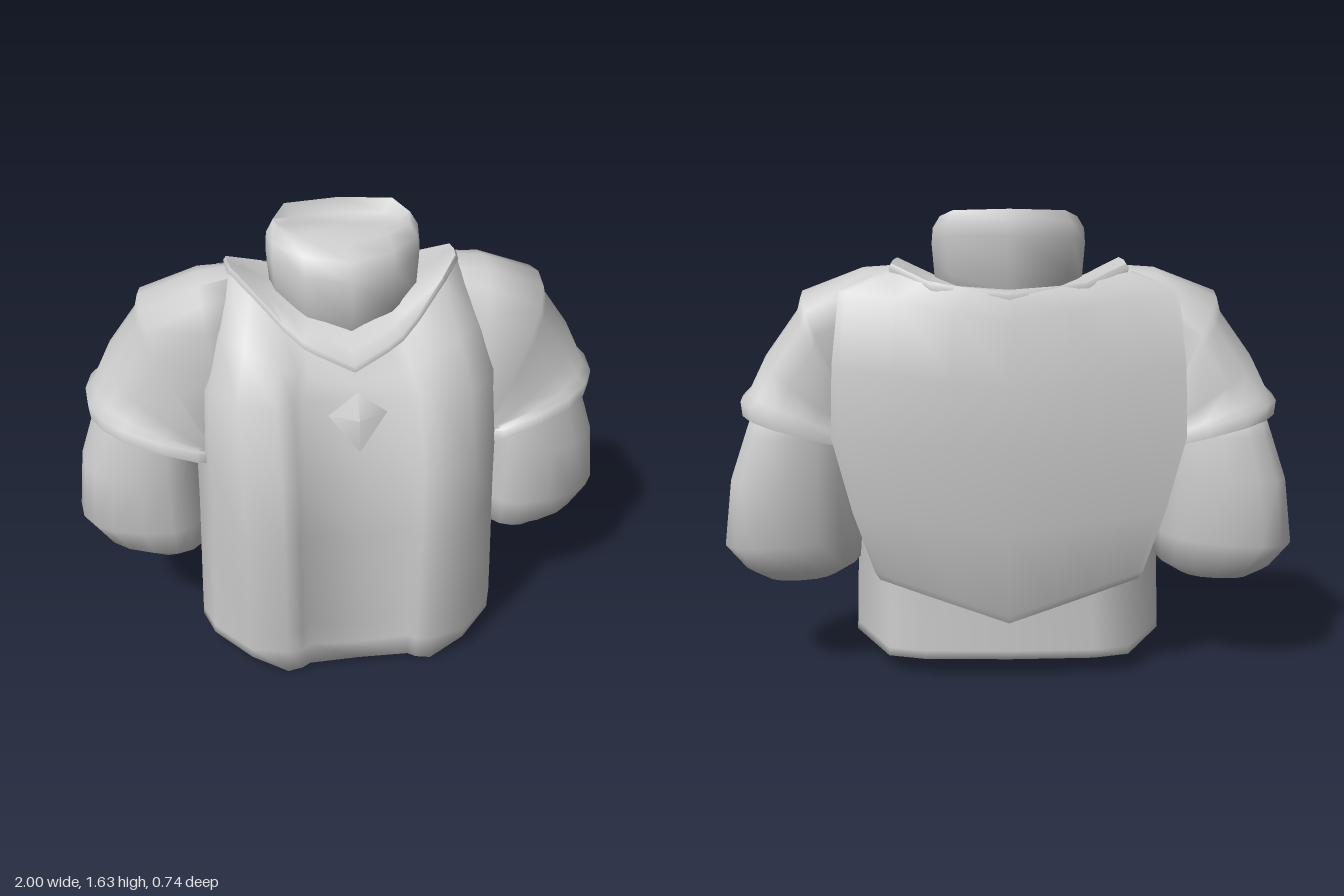
import * as THREE from 'three';
import { toCreasedNormals } from 'three/addons/utils/BufferGeometryUtils.js';

const grey = new THREE.MeshStandardMaterial({ color: 0xcccccc, side: THREE.DoubleSide });

// Skin closed rings of [x, y, z] points; optional apex points close the ends.
function loft(name, rings, { start, end, crease = 1.5 } = {}) {
  const n = rings[0].length, verts = rings.flat(), tris = [];
  for (let r = 0; r + 1 < rings.length; r++)
    for (let i = 0; i < n; i++) {
      const a = r * n + i, b = r * n + (i + 1) % n;
      tris.push([a, b, a + n], [b, b + n, a + n]);
    }
  const cap = (point, row, flip) => {
    const c = verts.push(point) - 1;
    for (let i = 0; i < n; i++) {
      const a = row * n + i, b = row * n + (i + 1) % n;
      tris.push(flip ? [b, a, c] : [a, b, c]);
    }
  };
  if (start) cap(start, 0, true);
  if (end) cap(end, rings.length - 1, false);

  // Turn every face outwards using the enclosed volume
  let volume = 0;
  const mid = verts.reduce((s, v) => s.map((q, k) => q + v[k] / verts.length), [0, 0, 0]);
  const v3 = i => new THREE.Vector3(...verts[i]).sub(new THREE.Vector3(...mid));
  for (const [a, b, c] of tris) volume += v3(a).dot(v3(b).cross(v3(c)));
  if (volume < 0) tris.forEach(t => t.reverse());

  const geo = new THREE.BufferGeometry();
  geo.setAttribute('position', new THREE.Float32BufferAttribute(verts.flat(), 3));
  geo.setIndex(tris.flat());
  const mesh = new THREE.Mesh(toCreasedNormals(geo, crease), grey);
  mesh.name = name;
  return mesh;
}

// Complete a half ring (front centre to back centre) by mirroring it in x
const mirrorRing = half => [...half, ...half.slice(1, -1).reverse().map(([x, y, z]) => [-x, y, z])];

// Rounded ring from an inner to an outer point, tilted in the xy plane and swept back outwards
function limbRing(side, [xi, yi, xo, yo, zBack, zFront], power, n = 16) {
  const soft = v => Math.sign(v) * Math.abs(v) ** power;
  return Array.from({ length: n }, (_, i) => {
    const a = (i / n) * Math.PI * 2, k = (1 + soft(Math.cos(a))) / 2;
    return [side * (xi + (xo - xi) * k), yi + (yo - yi) * k,
      (zBack + zFront) / 2 + (zFront - zBack) / 2 * soft(Math.sin(a)) + 0.1 * (0.5 - k)];
  });
}

// Neckline, front centre to back centre
const neckline = [
  [0, 1.18, 0.19], [0.12, 1.235, 0.16], [0.17, 1.26, 0.14], [0.23, 1.31, 0.1], [0.33, 1.41, 0.02],
  [0.39, 1.455, -0.06], [0.4, 1.45, -0.13], [0.4, 1.44, -0.2], [0.26, 1.38, -0.28], [0, 1.35, -0.31],
];

// Torso with a recessed front panel between two raised vest edges, narrowing to the back
function torso() {
  const hem = [0.02, 0.02, 0.01, 0.003, 0.06, 0.07, 0.07, 0.07, 0.07, 0.07];
  const section = (y, w, zf, zb, dip, zSide) => [
    [0, zf - 0.02], [0.185, zf - dip], [0.215, zf - 0.005], [0.27, zf], [0.4, zf - 0.035],
    [w - 0.04, zSide], [w, 0.04], [w * 0.75, zb + 0.035], [w * 0.53, zb], [0, zb - 0.01],
  ].map(([x, z], i) => [x, y ?? hem[i], z]);
  const chest = section(1.1, 0.53, 0.262, -0.285, 0.03, 0.14);
  const bulge = [0, 0, 0, 0.015, 0.035, 0.04, 0.02, 0, 0, 0];
  const upper = chest.map((p, i) => p.map((v, k) => (v + neckline[i][k]) / 2 + (k === 2 ? bulge[i] : 0)));
  const rows = [
    section(null, 0.57, 0.342, -0.27, 0.015, 0.16),
    section(0.1, 0.568, 0.345, -0.27, 0.03, 0.16),
    section(0.2, 0.565, 0.355, -0.265, 0.045, 0.16),
    section(0.6, 0.55, 0.372, -0.265, 0.045, 0.17),
    section(0.85, 0.545, 0.353, -0.275, 0.045, 0.17),
    chest, upper, neckline,
  ];
  return loft('torso', rows.map(mirrorRing), { start: [0, 0.072, -0.279], crease: 3.1 });
}

// Flat collar band around the neckline, sloping in to the neck
function collar() {
  const ring = (scale, lift, level) => mirrorRing(neckline.map(([x, y, z]) =>
    [x * scale, y + (1.39 - y) * level + lift, -0.06 + (z + 0.06) * scale]));
  return loft('collarBand', [
    ring(1.0, -0.03, 0), ring(1.015, 0, 0), ring(0.99, 0.015, 0),
    ring(0.85, 0.005, 0.25), ring(0.7, -0.005, 0.6), ring(0.55, -0.01, 0.7),
  ], { crease: 0.9 });
}

// Wide neck, pointed in front and higher at the back, its top dipping behind the rear rim
function neck() {
  const outline = [[0, 1], [0.58, 0.7], [0.94, 0.22], [1, -0.2], [0.8, -0.85], [0, -1]];
  const ring = (rx, back, front, yBack, yFront) => mirrorRing(outline.map(([u, w]) => {
    const k = (1 + w) / 2;
    return [rx * u, yBack + (yFront - yBack) * k, back + (front - back) * k];
  }));
  return loft('neck', [
    ring(0.2, -0.22, 0.1, 1.36, 1.25),
    ring(0.255, -0.24, 0.135, 1.43, 1.33),
    ring(0.265, -0.25, 0.135, 1.55, 1.47),
    ring(0.26, -0.245, 0.1, 1.6, 1.53),
    ring(0.235, -0.228, 0.04, 1.637, 1.573),
    ring(0.2, -0.212, 0.0, 1.585, 1.59),
  ], { end: [0, 1.605, -0.07] });
}

// Back panel: rows of [centre y, edge y, half width, centre z, edge z, thickness]
function backPanel() {
  const rows = [
    [1.35, 1.43, 0.42, -0.31, -0.2, 0.004],
    [1.28, 1.37, 0.57, -0.33, -0.255, 0.03],
    [1.06, 1.12, 0.595, -0.36, -0.3, 0.03],
    [0.85, 0.88, 0.6, -0.372, -0.325, 0.03],
    [0.55, 0.62, 0.535, -0.347, -0.32, 0.03],
    [0.24, 0.4, 0.465, -0.31, -0.298, 0.03],
    [0.21, 0.37, 0.45, -0.296, -0.285, 0.004],
  ];
  const steps = [-1, -0.95, -0.66, -0.33, 0, 0.33, 0.66, 0.95, 1];
  return loft('backPanel', rows.map(([yc, ye, w, zc, ze, t]) => {
    const line = dz => steps.map(u => [u * w, yc + (ye - yc) * Math.abs(u), zc + (ze - zc) * u * u + dz]);
    return [...line(0), ...line(t).reverse()];
  }), { crease: 0.9 });
}

// Diamond ornament on the chest
function ornament() {
  return loft('chestDiamond',
    [[[0, 1.13, 0.25], [0.1, 1.055, 0.26], [0, 0.935, 0.315], [-0.1, 1.055, 0.26]]],
    { start: [0, 1.04, 0.2], end: [0, 1.05, 0.305], crease: 0.9 });
}

// Short sleeve with a rolled cuff, and the full lower arm below it
function arm(side) {
  const group = new THREE.Group();
  group.name = side > 0 ? 'leftArm' : 'rightArm';
  const sleeve = [
    [0.34, 0.9, 0.36, 1.45, -0.2, 0.04],
    [0.44, 0.84, 0.5, 1.44, -0.24, 0.1],
    [0.46, 0.8, 0.71, 1.36, -0.27, 0.11],
    [0.44, 0.8, 0.725, 1.3, -0.28, 0.11],
    [0.42, 0.8, 0.84, 1.14, -0.31, 0.115],
    [0.42, 0.82, 0.895, 1.03, -0.315, 0.115],
    [0.42, 0.83, 0.925, 1.0, -0.33, 0.135],
    [0.42, 0.8, 0.92, 0.95, -0.33, 0.14],
    [0.45, 0.82, 0.88, 0.955, -0.3, 0.09],
  ];
  const lower = [
    [0.57, 0.92, 0.88, 0.98, -0.28, 0.06],
    [0.55, 0.86, 0.915, 0.88, -0.3, 0.07],
    [0.54, 0.72, 0.97, 0.72, -0.32, 0.08],
    [0.53, 0.5, 1.0, 0.49, -0.32, 0.075],
    [0.54, 0.39, 0.93, 0.4, -0.285, 0.06],
    [0.62, 0.34, 0.86, 0.36, -0.23, 0.0],
  ];
  group.add(
    loft('sleeve', sleeve.map(r => limbRing(side, r, 0.72)), { start: [side * 0.35, 1.18, -0.08] }),
    loft('lowerArm', lower.map(r => limbRing(side, r, 0.82)), {
      start: [side * 0.72, 0.95, -0.1], end: [side * 0.72, 0.335, -0.11],
    }));
  return group;
}

export function createModel() {
  const model = new THREE.Group();
  model.name = 'upperBody';
  model.add(torso(), collar(), neck(), backPanel(), ornament(), arm(1), arm(-1));
  return model;
}
